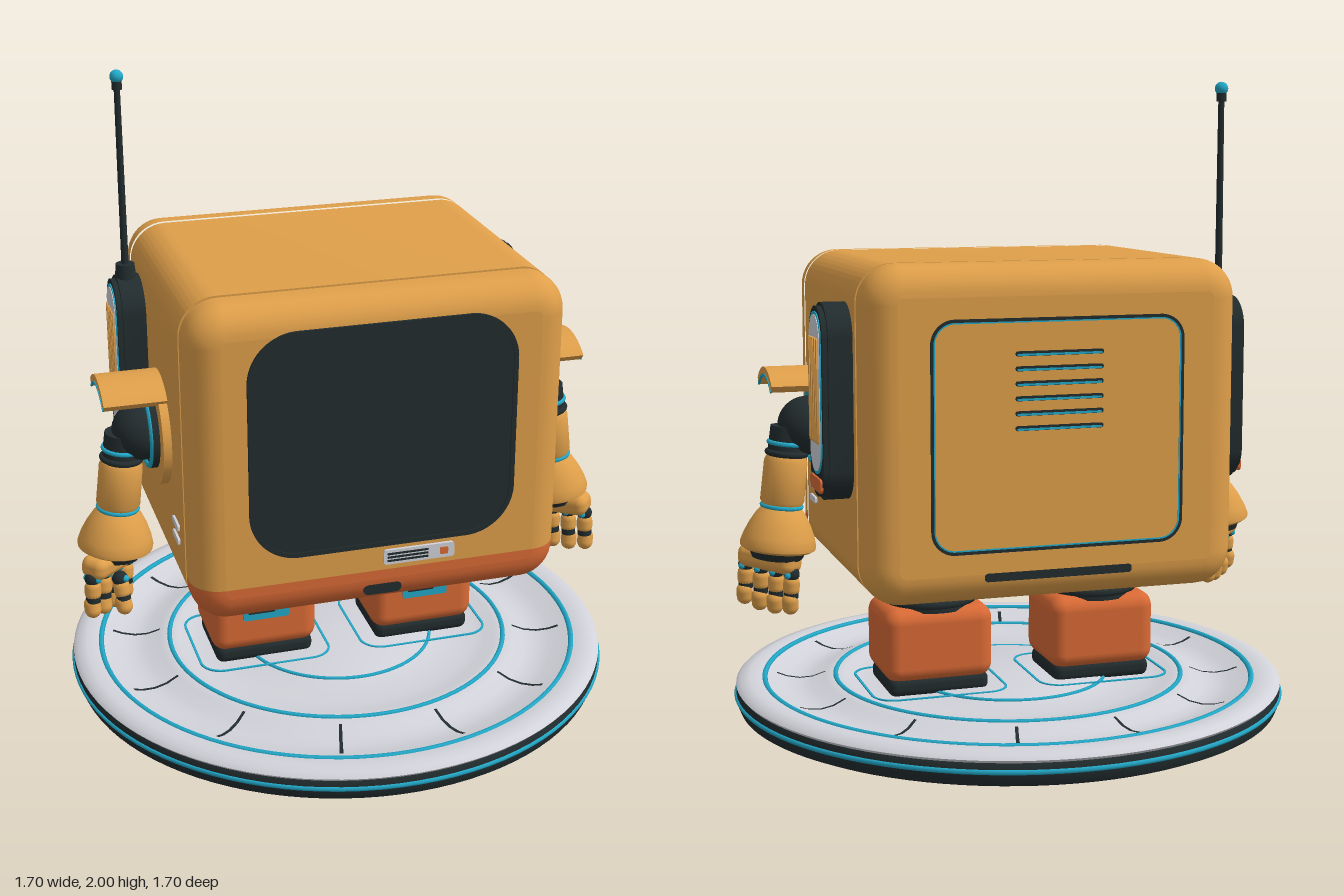
import * as THREE from 'three';
import { toCreasedNormals } from 'three/addons/utils/BufferGeometryUtils.js';
import { RoundedBoxGeometry } from 'three/addons/geometries/RoundedBoxGeometry.js';

const mat = (name, color) => Object.assign(new THREE.MeshStandardMaterial({ color }), { name });
const TAN = mat('amber shell', 0xdf9f4a), ORANGE = mat('orange', 0xd96a35), DARK = mat('charcoal', 0x222c2e);
const CYAN = mat('cyan', 0x22a9c9), LIGHT = mat('light grey', 0xd2d3da);

function add(parent, name, geo, material, x = 0, y = 0, z = 0) {
  const m = new THREE.Mesh(geo, material);
  m.name = name;
  m.position.set(x, y, z);
  parent.add(m);
  return m;
}

function group(parent, name, x = 0, y = 0, z = 0) {
  const g = new THREE.Group();
  g.name = name;
  g.position.set(x, y, z);
  parent.add(g);
  return g;
}

// Rounded rectangle outline centred on the origin
function outline(target, w, h, r) {
  const a = w / 2 - r, b = h / 2 - r;
  target.moveTo(a + r, -b);
  target.absarc(a, b, r, 0, Math.PI / 2);
  target.absarc(-a, b, r, Math.PI / 2, Math.PI);
  target.absarc(-a, -b, r, Math.PI, Math.PI * 1.5);
  target.absarc(a, -b, r, Math.PI * 1.5, Math.PI * 2);
  return target;
}

// Rounded plate from z = 0 to z = d; border > 0 leaves only a frame
function plate(w, h, r, d, border = 0) {
  const s = outline(new THREE.Shape(), w, h, r);
  if (border) s.holes.push(outline(new THREE.Path(), w - 2 * border, h - 2 * border, r - border));
  return toCreasedNormals(new THREE.ExtrudeGeometry(s, { depth: d, bevelEnabled: false, curveSegments: 12 }), 0.6);
}

const lathe = (pts, seg = 32, start = 0, len = Math.PI * 2) => toCreasedNormals(
  new THREE.LatheGeometry(pts.map(p => new THREE.Vector2(...p)), seg, start, len), 0.6);

// Half outline of the end shell, split at y = 0.65, inset by d
function shellLoop(d, upper) {
  const A = 0.555, R = 0.11, pts = [], side = upper ? 1 : -1;
  pts.push([side * (A - d), 0.65]);
  for (let c = 0; c < 2; c++) {
    const cx = side * (c ? -1 : 1) * (A - R), cy = upper ? 1.49 - R : 0.53 + R;
    for (let i = 0; i <= 10; i++) {
      const t = (upper ? 0 : Math.PI) + (c + i / 10) * Math.PI / 2;
      pts.push([cx + (R - d) * Math.cos(t), cy + (R - d) * Math.sin(t)]);
    }
  }
  pts.push([-side * (A - d), 0.65]);
  return pts;
}

// Upper or lower half of an end shell, rounded towards +z, with its flat face
function shell(parent, name, upper, material) {
  const rows = [[0, 0.3675]], round = 0.09;
  for (let i = 0; i <= 8; i++) {
    const t = i / 8 * Math.PI / 2;
    rows.push([round * (1 - Math.cos(t)), 0.395 + round * Math.sin(t)]);
  }
  const pos = [], idx = [], n = shellLoop(0, upper).length;
  rows.forEach(([d, z]) => shellLoop(d, upper).forEach(p => pos.push(p[0], p[1], z)));
  for (let j = 0; j < rows.length - 1; j++) for (let i = 0; i < n - 1; i++) {
    const a = j * n + i, b = a + n;
    idx.push(a, a + 1, b, a + 1, b + 1, b);
  }
  const g = new THREE.BufferGeometry();
  g.setAttribute('position', new THREE.Float32BufferAttribute(pos, 3));
  g.setIndex(idx);
  g.computeVertexNormals();
  add(parent, name, g, material);
  const face = new THREE.Shape(shellLoop(round, upper).map(p => new THREE.Vector2(...p)));
  add(parent, name + 'Face', new THREE.ShapeGeometry(face), material, 0, 0, 0.485);
}

function buildPlatform(root) {
  const g = group(root, 'platform');
  add(g, 'hull', lathe([[0, 0.005], [0.2, 0.008], [0.36, 0.02], [0.48, 0.03], [0.51, 0.045], [0.56, 0.082], [0.62, 0.092],
    [0.8, 0.1], [0.832, 0.115], [0.842, 0.14], [0.842, 0.165], [0.835, 0.178]], 96), DARK);
  add(g, 'deck', lathe([[0.835, 0.176], [0.842, 0.185], [0.83, 0.197], [0.8, 0.203], [0.765, 0.2], [0.74, 0.193], [0.69, 0.176],
    [0.65, 0.17], [0.61, 0.174], [0.57, 0.189], [0.54, 0.196], [0.51, 0.193], [0.48, 0.184], [0.44, 0.18],
    [0.31, 0.18], [0.29, 0.188], [0, 0.188]], 96), LIGHT);
  const ring = (name, r, y, tube) => { add(g, name, new THREE.TorusGeometry(r, tube, 6, 96), CYAN, 0, y).rotation.x = Math.PI / 2; };
  ring('rimStripe', 0.84, 0.153, 0.008);
  ring('outerDeckRing', 0.755, 0.196, 0.009);
  ring('innerDeckRing', 0.537, 0.194, 0.008);
  ring('centreDeckRing', 0.3, 0.183, 0.006);
  ring('undersideRing', 0.32, 0.017, 0.006);
  add(g, 'undersideLight', new THREE.CylinderGeometry(0.28, 0.28, 0.012, 64), CYAN, 0, 0.008);
  for (let i = 0; i < 12; i++) {
    const w = 0.016, phi = (15 + 30 * i) * Math.PI / 180;
    add(g, 'deckSeam', lathe([[0.72, 0.19], [0.69, 0.179], [0.65, 0.173], [0.61, 0.177], [0.57, 0.192]], 1, phi - w / 2, w), DARK);
  }
}

function buildLeg(root, s) {
  const g = group(root, s > 0 ? 'leftLeg' : 'rightLeg', s * 0.26, 0, -0.025);
  add(g, 'boot', new RoundedBoxGeometry(0.335, 0.225, 0.275, 5, 0.045), ORANGE, 0, 0.332);
  add(g, 'sole', new RoundedBoxGeometry(0.31, 0.06, 0.25, 3, 0.025), DARK, 0, 0.206);
  add(g, 'bootPlate', plate(0.146, 0.064, 0.008, 0.012), CYAN, 0, 0.363, 0.133);
  add(g, 'bootSlot', plate(0.088, 0.018, 0.007, 0.004), DARK, -0.015, 0.362, 0.143);
  add(g, 'ankle', new THREE.CylinderGeometry(0.135, 0.135, 0.12, 32), DARK, 0, 0.49);
  for (let i = 0; i < 4; i++)
    add(g, 'ankleRib', new THREE.TorusGeometry(0.135, 0.012, 8, 32), DARK, 0, 0.455 + i * 0.022).rotation.x = Math.PI / 2;
  add(g, 'footOutline', plate(0.42, 0.37, 0.07, 0.004, 0.007), CYAN, 0, 0.187).rotation.x = -Math.PI / 2;
}

function buildBody(root) {
  const g = group(root, 'body');
  add(g, 'middleShell', plate(1.11, 0.96, 0.11, 0.705), TAN, 0, 1.01, -0.3525);
  add(g, 'seamCore', plate(1.095, 0.945, 0.104, 0.75), CYAN, 0, 1.01, -0.375);
  const front = group(g, 'frontShell');
  shell(front, 'upperFrontShell', true, TAN);
  shell(front, 'chinShell', false, ORANGE);
  const back = group(g, 'backShell');
  shell(back, 'upperBackShell', true, TAN);
  shell(back, 'lowerBackShell', false, TAN);
  back.rotation.y = Math.PI;

  // Screen and control panel
  add(front, 'screen', plate(0.78, 0.675, 0.14, 0.006), DARK, 0, 1.072, 0.482);
  add(front, 'screenRim', plate(0.79, 0.685, 0.145, 0.01, 0.014), DARK, 0, 1.072, 0.482);
  add(front, 'controlPanel', plate(0.216, 0.046, 0.01, 0.012), LIGHT, 0.108, 0.692, 0.482);
  for (let i = -1; i <= 1; i++) add(front, 'panelStripe', plate(0.125, 0.006, 0.002, 0.004), DARK, 0.073, 0.692 + i * 0.011, 0.492);
  add(front, 'panelButton', plate(0.025, 0.022, 0.004, 0.005), ORANGE, 0.183, 0.692, 0.492);
  add(front, 'chinSlot', plate(0.115, 0.032, 0.015, 0.036), DARK, 0, 0.588, 0.448);

  // Back hatch, vents and lower slot, in the turned shell's own frame
  add(back, 'hatchGroove', plate(0.75, 0.66, 0.07, 0.003, 0.009), DARK, 0, 1.01, 0.484);
  add(back, 'hatchGlow', plate(0.732, 0.642, 0.061, 0.003, 0.004), CYAN, 0, 1.01, 0.484);
  for (let i = 0; i < 6; i++) {
    add(back, 'ventSlot', plate(0.26, 0.014, 0.006, 0.003), DARK, 0, 1.24 - i * 0.042, 0.484);
    add(back, 'ventGlow', plate(0.25, 0.006, 0.002, 0.005), CYAN, 0, 1.237 - i * 0.042, 0.484);
  }
  add(back, 'lowerSlot', plate(0.44, 0.024, 0.01, 0.026), DARK, 0, 0.61, 0.462);
}

// Ear pod with grille and side marks; local z points out of the body
function buildSide(root, s) {
  const g = group(root, s > 0 ? 'leftPod' : 'rightPod', s * 0.55, 1.093, -0.222);
  g.rotation.y = s * Math.PI / 2;
  add(g, 'podBase', plate(0.205, 0.565, 0.1, 0.075), DARK);
  add(g, 'podCap', plate(0.185, 0.545, 0.09, 0.09), DARK);
  add(g, 'podGlow', plate(0.155, 0.465, 0.075, 0.093), CYAN, 0, 0.025);
  add(g, 'grillePanel', plate(0.138, 0.448, 0.067, 0.095), LIGHT, 0, 0.025);
  for (let i = -2; i <= 2; i++) add(g, 'grilleBar', plate(0.013, 0.3, 0.006, 0.012), TAN, i * 0.026, 0.035, 0.088);
  add(g, 'podMarker', plate(0.15, 0.04, 0.015, 0.008), ORANGE, 0, -0.235, 0.088);
  for (const y of [0.722, 0.766])
    add(root, 'sideMark', plate(0.08, 0.02, 0.006, 0.012), LIGHT, s * 0.55, y, 0.25).rotation.y = s * Math.PI / 2;
}

function buildFinger(parent, name, x, z, len, bend) {
  const f = group(parent, name, x, -0.385, z);
  f.rotation.x = bend;
  add(f, 'knuckle', new THREE.SphereGeometry(0.024, 14, 10), DARK);
  for (const side of [-1, 1]) add(f, 'knucklePin', new THREE.SphereGeometry(0.011, 10, 8), CYAN, 0, 0, side * 0.02);
  add(f, 'fingerBase', new THREE.CapsuleGeometry(0.025, len * 0.16, 5, 14), TAN, 0, -len * 0.32);
  add(f, 'fingerJoint', new THREE.CylinderGeometry(0.022, 0.022, 0.02, 14), DARK, 0, -len * 0.56);
  const tip = add(f, 'fingerTip', new THREE.CapsuleGeometry(0.025, len * 0.16, 5, 14), TAN, 0, -len * 0.8, -0.004);
  tip.rotation.x = -0.15;
}

function buildArm(root, s) {
  const g = group(root, s > 0 ? 'leftArm' : 'rightArm', 0, 0.985, 0.05);
  const disc = (name, r, x0, x1, m) => {
    add(g, name, new THREE.CylinderGeometry(r, r, x1 - x0, 40), m, s * (x0 + x1) / 2).rotation.z = Math.PI / 2;
  };
  disc('shoulderDisc', 0.165, 0.54, 0.58, TAN);
  disc('shoulderSocket', 0.115, 0.57, 0.6, DARK);
  add(g, 'shoulderRing', new THREE.TorusGeometry(0.106, 0.009, 8, 40), CYAN, s * 0.6).rotation.y = Math.PI / 2;
  add(g, 'shoulderBall', new THREE.SphereGeometry(0.088, 28, 20), DARK, s * 0.615);

  // Arched shoulder guard
  const arch = (r0, r1, d) => {
    const sh = new THREE.Shape(), a = Math.PI / 2 - 0.73, b = Math.PI / 2 + 0.73;
    sh.absarc(0, 0, r1, a, b, false);
    sh.absarc(0, 0, r0, b, a, true);
    return toCreasedNormals(new THREE.ExtrudeGeometry(sh, { depth: d, bevelEnabled: false, curveSegments: 24 }), 0.6);
  };
  add(g, 'shoulderGuard', arch(0.155, 0.18, 0.19), TAN, s * 0.55).rotation.y = s * Math.PI / 2;
  add(g, 'guardTrim', arch(0.153, 0.159, 0.006), CYAN, s * 0.736).rotation.y = s * Math.PI / 2;

  // Forearm hanging slightly outwards
  const arm = group(g, 'forearm', s * 0.675, -0.055, 0);
  arm.rotation.z = s * 0.11;
  add(arm, 'elbow', new THREE.CylinderGeometry(0.055, 0.058, 0.1, 24), DARK, 0, 0.005);
  const band = (name, r, y, tube, m) => { add(arm, name, new THREE.TorusGeometry(r, tube, 8, 32), m, 0, y).rotation.x = Math.PI / 2; };
  band('elbowRing', 0.056, 0.005, 0.007, CYAN);
  band('elbowBand', 0.057, -0.025, 0.009, DARK);
  add(arm, 'sleeve', lathe([[0, -0.182], [0.06, -0.182], [0.066, -0.17], [0.065, -0.05], [0.058, -0.035], [0, -0.035]]), TAN);
  band('wristRing', 0.059, -0.186, 0.007, CYAN);
  add(arm, 'cuff', lathe([[0, -0.32], [0.1, -0.32], [0.113, -0.312], [0.114, -0.3], [0.107, -0.275], [0.092, -0.24],
    [0.075, -0.21], [0.06, -0.192], [0, -0.19]]), TAN);
  add(arm, 'cuffLining', new THREE.CylinderGeometry(0.09, 0.075, 0.03, 28), DARK, 0, -0.33);

  // Hand turned so the palm faces inwards and forwards
  const hand = group(arm, 'hand', s * 0.018, 0, 0.018);
  hand.rotation.y = -s * Math.PI / 4;
  add(hand, 'palm', new RoundedBoxGeometry(0.2, 0.07, 0.085, 4, 0.028), TAN, 0, -0.352, 0);
  for (let i = 0; i < 4; i++) buildFinger(hand, 'finger', (i - 1.5) * 0.056, 0, i % 3 ? 0.125 : 0.115, -0.12);
  buildFinger(hand, 'thumb', -0.03, 0.062, 0.1, -0.3);
}

function buildAntenna(root) {
  const g = group(root, 'antenna', -0.595, 0, -0.222);
  add(g, 'antennaBase', new THREE.CylinderGeometry(0.028, 0.034, 0.06, 20), DARK, 0, 1.385);
  add(g, 'antennaRod', new THREE.CylinderGeometry(0.009, 0.011, 0.56, 14), DARK, 0, 1.68);
  add(g, 'antennaCollar', new THREE.CylinderGeometry(0.015, 0.015, 0.025, 14), DARK, 0, 1.955);
  add(g, 'antennaTip', new THREE.SphereGeometry(0.02, 18, 12), CYAN, 0, 1.98);
}

export function createModel() {
  const root = new THREE.Group();
  root.name = 'robot';
  buildPlatform(root);
  buildBody(root);
  for (const s of [1, -1]) {
    buildLeg(root, s);
    buildSide(root, s);
    buildArm(root, s);
  }
  buildAntenna(root);
  return root;
}
